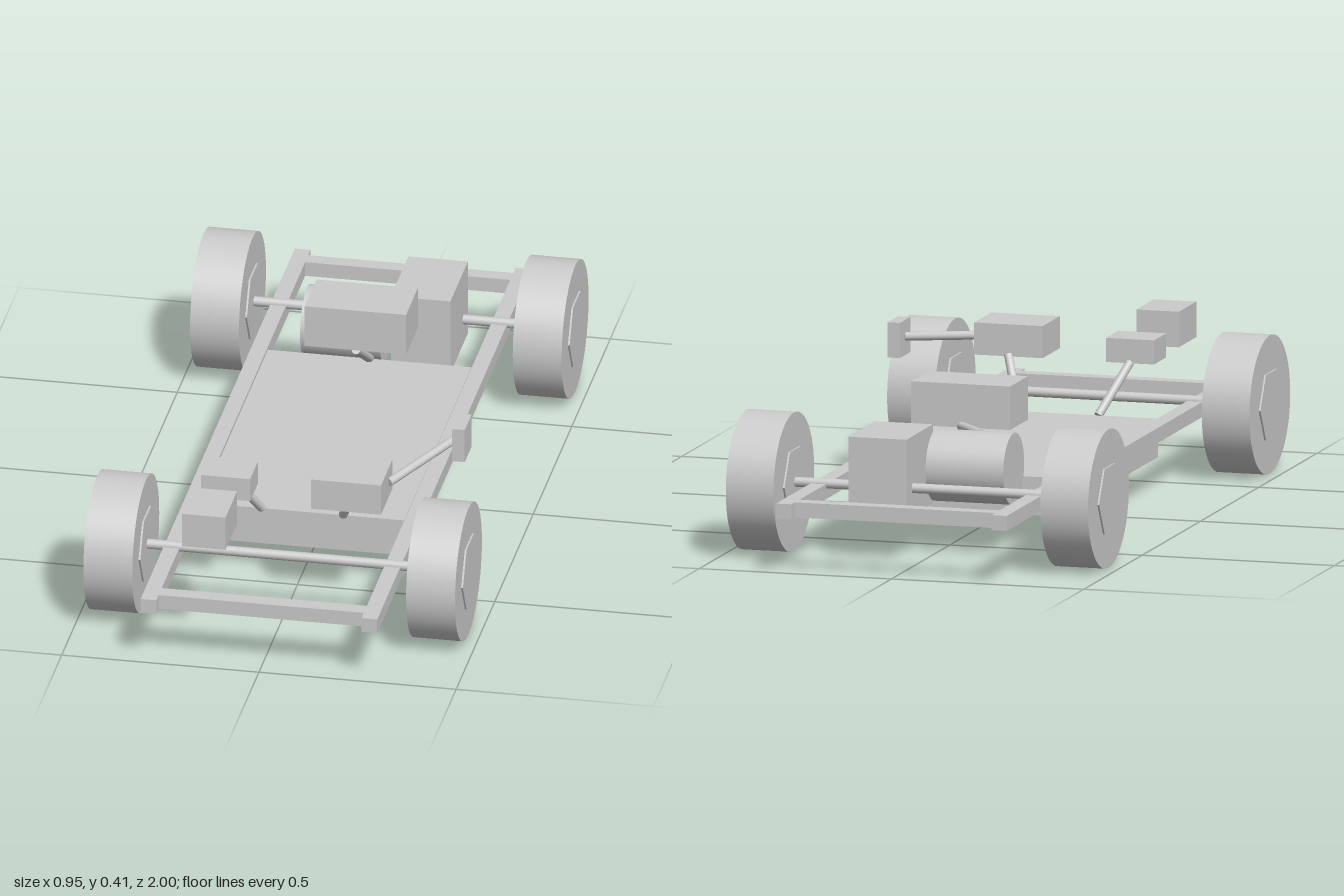
import * as THREE from 'three';

export function createModel() {
  const model = new THREE.Group();
  model.name = 'electricChassis';
  const grey = new THREE.MeshStandardMaterial({ color: 0xcccccc });
  const flatGrey = new THREE.MeshStandardMaterial({ color: 0xcccccc, flatShading: true });

  function add(name, geometry, material = grey) {
    const mesh = new THREE.Mesh(geometry, material);
    mesh.name = name;
    model.add(mesh);
    return mesh;
  }

  // Box given by its extents along each axis
  function box(name, [x0, x1], [y0, y1], [z0, z1]) {
    add(name, new THREE.BoxGeometry(x1 - x0, y1 - y0, z1 - z0))
      .position.set((x0 + x1) / 2, (y0 + y1) / 2, (z0 + z1) / 2);
  }

  // Cylinder lying along x
  function roller(name, radius, length, sides, x, y, z, material) {
    const geometry = new THREE.CylinderGeometry(radius, radius, length, sides).rotateZ(Math.PI / 2);
    add(name, geometry, material).position.set(x, y, z);
  }

  // Round bar between two points
  function rod(name, from, to, radius = 0.011) {
    const a = new THREE.Vector3(...from);
    const b = new THREE.Vector3(...to);
    const dir = b.clone().sub(a);
    const mesh = add(name, new THREE.CylinderGeometry(radius, radius, dir.length(), 16));
    mesh.position.copy(a).add(b).multiplyScalar(0.5);
    mesh.quaternion.setFromUnitVectors(new THREE.Vector3(0, 1, 0), dir.normalize());
  }

  // Ladder frame
  for (const [side, s] of [['left', 1], ['right', -1]]) {
    box(side + 'Rail', [s * 0.28 - 0.02, s * 0.28 + 0.02], [0.137, 0.175], [-1, 1]);
  }
  for (const [end, s] of [['front', 1], ['rear', -1]]) {
    box(end + 'CrossMember', [-0.26, 0.26], [0.137, 0.175], [s * 0.95 - 0.02, s * 0.95 + 0.02]);

    // Axle with a wheel and hexagonal hub at each end
    const z = s * 0.692;
    roller(end + 'Axle', 0.0125, 0.72, 16, 0, 0.175, z);
    for (const [side, t] of [['Left', 1], ['Right', -1]]) {
      roller(end + side + 'Wheel', 0.175, 0.124, 48, t * 0.409, 0.175, z);
      roller(end + side + 'Hub', 0.095, 0.133, 6, t * 0.409, 0.175, z, flatGrey);
    }
  }

  // Battery pack between the rails
  box('batteryPack', [-0.258, 0.258], [0.075, 0.172], [-0.437, 0.437]);

  // Rear drive unit
  box('gearbox', [0.037, 0.188], [0.108, 0.307], [-0.75, -0.522]);
  roller('motor', 0.09, 0.202, 40, -0.079, 0.21, -0.545);
  box('inverter', [-0.13, 0.127], [0.282, 0.392], [-0.411, -0.258]);
  rod('inverterCable', [0, 0.282, -0.26], [0, 0.172, -0.437]);
  rod('motorCable', [0, 0.285, -0.405], [-0.08, 0.285, -0.495]);

  // Front charging and auxiliary units
  box('frontUnit', [-0.21, -0.1], [0.292, 0.382], [0.772, 0.922]);
  box('converter', [-0.218, -0.093], [0.29, 0.351], [0.533, 0.638]);
  box('charger', [0.065, 0.243], [0.295, 0.376], [0.512, 0.66]);
  rod('converterCable', [-0.155, 0.292, 0.535], [-0.103, 0.172, 0.435]);
  rod('chargerCable', [0.155, 0.298, 0.515], [0.103, 0.172, 0.435]);

  // Charging port on its arm
  rod('portCable', [0.243, 0.336, 0.56], [0.375, 0.365, 0.332]);
  box('chargePort', [0.368, 0.4], [0.318, 0.407], [0.287, 0.377]);

  return model;
}
